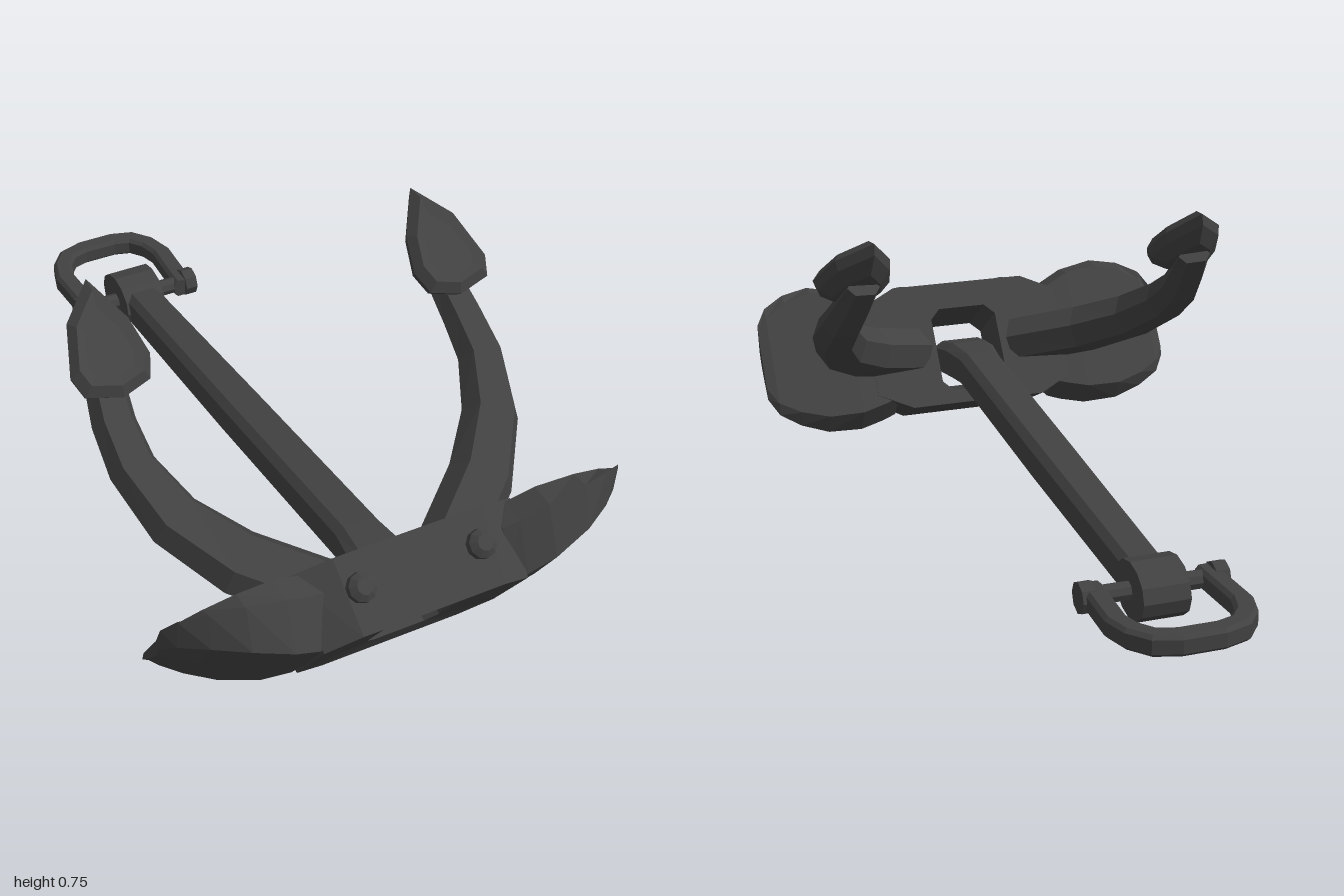
import * as THREE from 'three';

const V = (x, y, z) => new THREE.Vector3(x, y, z);
const iron = new THREE.MeshStandardMaterial({ color: 0x414141, flatShading: true });
iron.name = 'dark iron';

// Joins rings of points into a flat-faced solid; closed = last ring meets the first
function loft(rings, closed = false) {
  const tri = [], n = rings[0].length, m = rings.length;
  for (let r = 0; r < (closed ? m : m - 1); r++) {
    const a = rings[r], b = rings[(r + 1) % m];
    for (let i = 0; i < n; i++) {
      const j = (i + 1) % n;
      tri.push([a[i], a[j], b[j]], [a[i], b[j], b[i]]);
    }
  }
  if (!closed) {
    const cap = (ring, flip) => {
      const c = ring.reduce((s, p) => s.add(p), V(0, 0, 0)).divideScalar(n);
      ring.forEach((p, i) => {
        const q = ring[(i + 1) % n];
        tri.push(flip ? [c, q, p] : [c, p, q]);
      });
    };
    cap(rings[0], true);
    cap(rings[m - 1], false);
  }
  // The signed volume tells whether the faces point outwards
  const volume = tri.reduce((s, [a, b, c]) => s + a.dot(b.clone().cross(c)), 0);
  const pts = tri.flatMap(([a, b, c]) => (volume < 0 ? [a, c, b] : [a, b, c]));
  const g = new THREE.BufferGeometry().setFromPoints(pts);
  g.computeVertexNormals();
  return g;
}

// Carries a 2D section along a path, scaled by [width, height] at each point
function sweep(path, up, section, sizes) {
  return loft(path.map((p, i) => {
    const t = path[Math.min(i + 1, path.length - 1)].clone().sub(path[Math.max(i - 1, 0)]).normalize();
    const side = up.clone().cross(t).normalize();
    const top = t.clone().cross(side);
    const [w, h] = sizes[Math.min(i, sizes.length - 1)];
    return section.map(([a, b]) => p.clone().addScaledVector(side, a * w).addScaledVector(top, b * h));
  }));
}

// Eight-sided outline: a box of half width w between v0 and v1 with cut corners
const octagon = (w, v0, v1, cx, cv) => [
  [w - cx, v1], [w, v1 - cv], [w, v0 + cv], [w - cx, v0],
  [cx - w, v0], [-w, v0 + cv], [-w, v1 - cv], [cx - w, v1]];

// Tilted frame of the crown: v runs up the plate, n points out of its face
const tilt = (x, v, n) => V(x, 0.82 * v - 0.57 * n, 0.57 * v + 0.82 * n);

export function createModel() {
  const model = new THREE.Group();
  const add = (name, geometry, parent = model) => {
    const mesh = new THREE.Mesh(geometry, iron);
    mesh.name = name;
    parent.add(mesh);
    return mesh;
  };

  // Crown block with the opening for the shank
  const ring = (n, pts) => pts.map(([x, v]) => tilt(x, v, n));
  add('crownBlock', loft([
    ring(0.48, octagon(0.3, 0.445, 0.82, 0.1, 0.05)),
    ring(0.668, octagon(0.275, 0.472, 0.79, 0.085, 0.05)),
    ring(0.66, octagon(0.1, 0.545, 0.74, 0.03, 0.03)),
    ring(0.48, octagon(0.1, 0.485, 0.74, 0.03, 0.03)),
  ], true));

  // Shank, from the end inside the crown to the eye
  const shankSection = octagon(1, -1, 1, 0.35, 0.35);
  add('shank', sweep(
    [V(0, 0.17, 0.87), V(0, 0.175, 0.83), V(0, 0.19, 0.74), V(0, 0.192, 0.64), V(0, 0.135, 0), V(0, 0.08, -0.66)],
    V(0, 1, 0), shankSection,
    [[0.07, 0.035], [0.085, 0.05], [0.075, 0.055], [0.06, 0.053], [0.058, 0.052], [0.052, 0.048]]));
  const eye = add('shankEye', new THREE.CylinderGeometry(0.073, 0.073, 0.12, 12));
  eye.rotation.z = Math.PI / 2;
  eye.scale.z = 1.25;
  eye.position.set(0, 0.08, -0.695);

  // Shackle bow and pin
  const half = [[0.148, -0.665], [0.152, -0.75], [0.157, -0.85], [0.14, -0.91], [0.105, -0.955], [0.05, -0.972]];
  const bow = [...half, ...half.slice().reverse().map(([x, z]) => [-x, z])];
  add('shackleBow', sweep(bow.map(([x, z]) => V(x, 0.077, z)), V(0, 1, 0), shankSection, [[0.028, 0.027]]));
  const pin = add('shacklePin', new THREE.CylinderGeometry(0.024, 0.024, 0.36, 8));
  pin.rotation.z = Math.PI / 2;
  pin.position.set(0, 0.078, -0.69);

  const hexSection = [[1, 0], [0.6, 1], [-0.6, 1], [-1, 0], [-0.6, -1], [0.6, -1]];
  for (const s of [1, -1]) {
    const side = new THREE.Group();
    side.name = s > 0 ? 'leftSide' : 'rightSide';
    model.add(side);

    // Crown wing: stations along x as [x, bottom, top, back, front]
    const stations = [
      [0.24, 0.455, 0.79, 0.49, 0.655], [0.28, 0.44, 0.81, 0.485, 0.66], [0.35, 0.42, 0.845, 0.48, 0.65],
      [0.45, 0.42, 0.862, 0.485, 0.615], [0.53, 0.445, 0.84, 0.49, 0.575], [0.59, 0.48, 0.8, 0.495, 0.54],
      [0.618, 0.53, 0.75, 0.505, 0.525]];
    add('crownWing', loft(stations.map(([x, v0, v1, nb, nf]) => {
      const rim = nb + (nf - nb) * 0.45;
      return [[v0 + 0.03, nb], [v0, rim], [v0 + 0.06, nf], [(v0 + v1) / 2, nf + 0.005],
        [v1 - 0.07, nf], [v1, rim - 0.02], [v1 - 0.03, nb]].map(([v, n]) => tilt(s * x, v, n));
    })), side);

    // Curved arm
    const arm = [V(0.465, 0.625, 0.15), V(0.475, 0.57, 0.21), V(0.488, 0.49, 0.3), V(0.487, 0.425, 0.4),
      V(0.44, 0.345, 0.53), V(0.335, 0.275, 0.66), V(0.17, 0.215, 0.79)];
    arm.forEach((p) => { p.x *= s; });
    add('arm', sweep(arm, V(0, 0.85, 0.53), hexSection,
      [[0.045, 0.022], [0.05, 0.035], [0.056, 0.043], [0.062, 0.05], [0.075, 0.056], [0.085, 0.06], [0.085, 0.06]]), side);

    // Spade-shaped fluke with a bevelled face
    const spade = [[-0.015, 0.28], [0.07, 0.185], [0.108, 0.055], [0.09, 0], [0, -0.025],
      [-0.078, 0], [-0.1, 0.06], [-0.08, 0.16]];
    const flukeRing = (scale, n) => spade.map(([a, t]) => {
      const d = 0.09 + (t - 0.09) * scale;
      return V(s * (0.467 + a * scale), 0.59 + 0.6 * d + 0.8 * n, 0.3 - 0.8 * d + 0.6 * n);
    });
    add('fluke', loft([flukeRing(0.62, -0.055), flukeRing(0.93, -0.025), flukeRing(1, 0.002),
      flukeRing(0.8, 0.026), flukeRing(0.58, 0.022)]), side);

    // Bolt on the top edge of the crown
    const bolt = new THREE.Group();
    bolt.name = 'bolt';
    bolt.position.set(s * 0.16, 0.345, 0.925);
    bolt.rotation.x = 0.75;
    side.add(bolt);
    add('boltCollar', new THREE.CylinderGeometry(0.036, 0.036, 0.03, 10), bolt);
    add('boltHead', new THREE.CylinderGeometry(0.02, 0.036, 0.014, 10), bolt).position.y = 0.022;

    // Knob on the end of the shackle pin
    const knob = add('pinKnob', new THREE.CylinderGeometry(0.04, 0.04, 0.035, 8), side);
    knob.rotation.z = Math.PI / 2;
    knob.position.set(s * 0.17, 0.078, -0.69);
  }
  return model;
}
